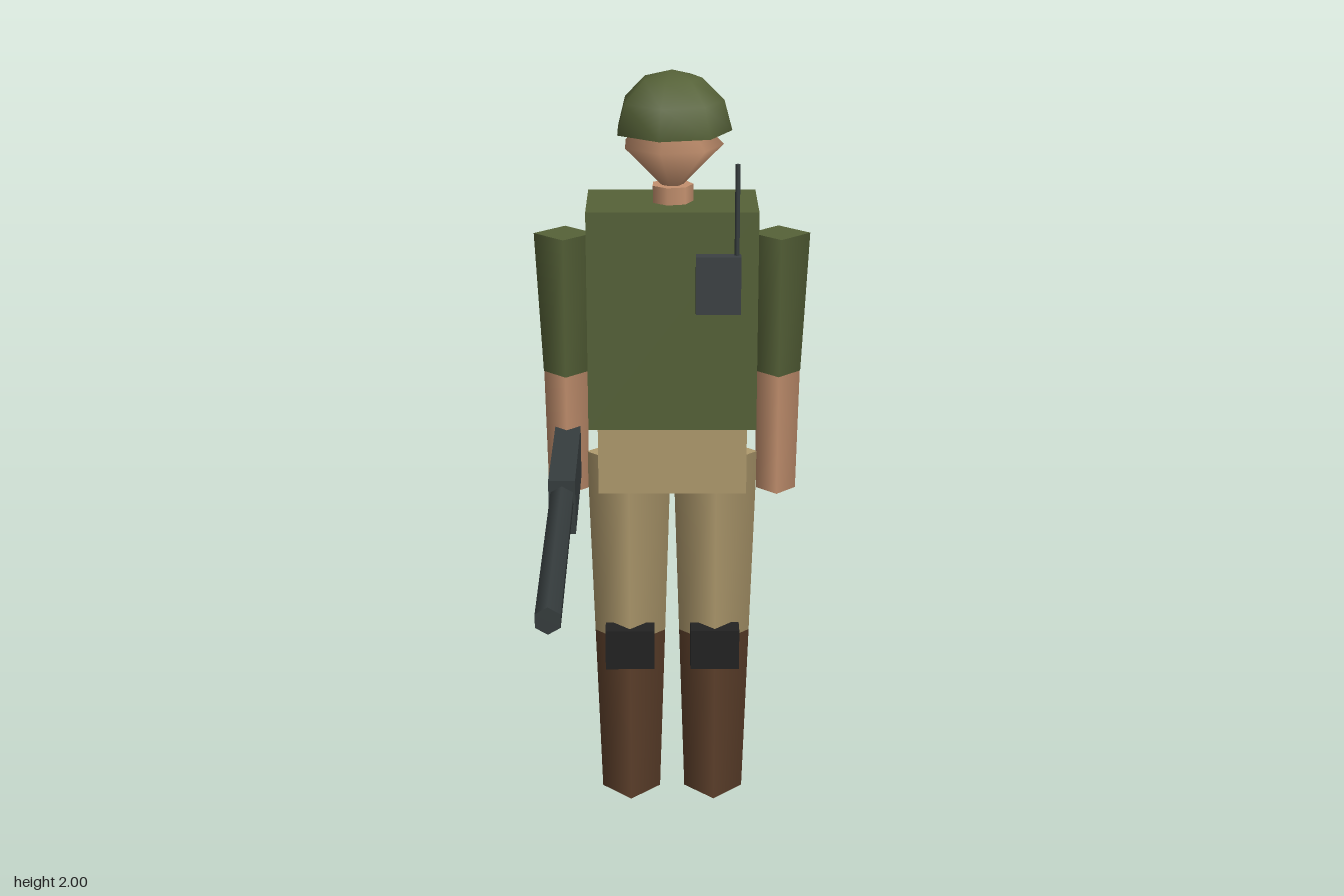
import * as THREE from 'three';

const material = (name, color, side = THREE.FrontSide) => {
  const m = new THREE.MeshStandardMaterial({ color, side });
  m.name = name;
  return m;
};

export function createModel() {
  const green = material('olive green', 0x566238, THREE.DoubleSide);
  const khaki = material('khaki', 0xb09b6e);
  const skin = material('skin', 0xc4916f);
  const leather = material('brown leather', 0x5f412c);
  const gunmetal = material('gunmetal', 0x363d3e);
  const radioGrey = material('radio grey', 0x3c4144);
  const black = material('pad black', 0x222222);

  const model = new THREE.Group();
  model.name = 'soldier';
  const bodyZ = -0.507; // the figure stands behind the long rifle

  const add = (parent, name, geometry, mat, x, y, z) => {
    const mesh = new THREE.Mesh(geometry, mat);
    mesh.name = name;
    mesh.position.set(x, y, z);
    parent.add(mesh);
    return mesh;
  };
  const box = (w, h, d) => new THREE.BoxGeometry(w, h, d);
  // Smooth four-sided tapered limb section between two heights
  const limb = (parent, name, mat, rTop, rBottom, yTop, yBottom) =>
    add(parent, name, new THREE.CylinderGeometry(rTop, rBottom, yTop - yBottom, 4),
      mat, 0, (yTop + yBottom) / 2, 0);

  // Trunk
  const body = new THREE.Group();
  body.name = 'body';
  body.position.z = bodyZ;
  model.add(body);
  add(body, 'torso', box(0.432, 0.57, 0.252), green, 0, 1.385, 0);
  add(body, 'hips', box(0.385, 0.18, 0.225), khaki, 0, 1.01, 0);

  // Seven-sided neck, head and helmet, with one corner to the left
  add(body, 'neck', new THREE.CylinderGeometry(0.054, 0.054, 0.053, 7).rotateY(Math.PI / 2),
    skin, 0, 1.687, 0);
  add(body, 'head', new THREE.SphereGeometry(0.13, 7, 2).rotateY(Math.PI), skin, 0, 1.815, 0);
  add(body, 'helmet',
    new THREE.SphereGeometry(0.151, 7, 3, 0, Math.PI * 2, 0, Math.PI / 2).rotateY(Math.PI),
    green, 0, 1.849, 0);

  // Arms and legs, mirrored
  for (const [side, s] of [['left', 1], ['right', -1]]) {
    const arm = new THREE.Group();
    arm.name = side + 'Arm';
    arm.position.x = s * 0.275;
    body.add(arm);
    limb(arm, 'sleeve', green, 0.077, 0.059, 1.587, 1.22);
    limb(arm, 'forearm', skin, 0.058, 0.052, 1.22, 0.895);

    const leg = new THREE.Group();
    leg.name = side + 'Leg';
    leg.position.x = s * 0.114;
    body.add(leg);
    limb(leg, 'trouserLeg', khaki, 0.111, 0.095, 0.997, 0.48);
    limb(leg, 'boot', leather, 0.095, 0.08, 0.48, 0);
    add(leg, 'kneePad', box(0.131, 0.112, 0.058), black, 0, 0.468, 0.081);
  }

  // Chest radio with aerial
  add(model, 'radio', box(0.113, 0.147, 0.04), radioGrey, 0.115, 1.491, -0.364);
  add(model, 'aerial', new THREE.CylinderGeometry(0.007, 0.007, 0.23, 6), gunmetal,
    0.161, 1.678, -0.368);

  // Rifle held through the right hand
  const rifle = new THREE.Group();
  rifle.name = 'rifle';
  rifle.position.x = -0.273;
  model.add(rifle);
  add(rifle, 'receiver', box(0.066, 0.14, 0.464), gunmetal, 0, 1.005, -0.308);
  add(rifle, 'barrel', new THREE.CylinderGeometry(0.032, 0.032, 0.731, 6).rotateX(Math.PI / 2),
    gunmetal, 0, 1.029, 0.2895);

  return model;
}
